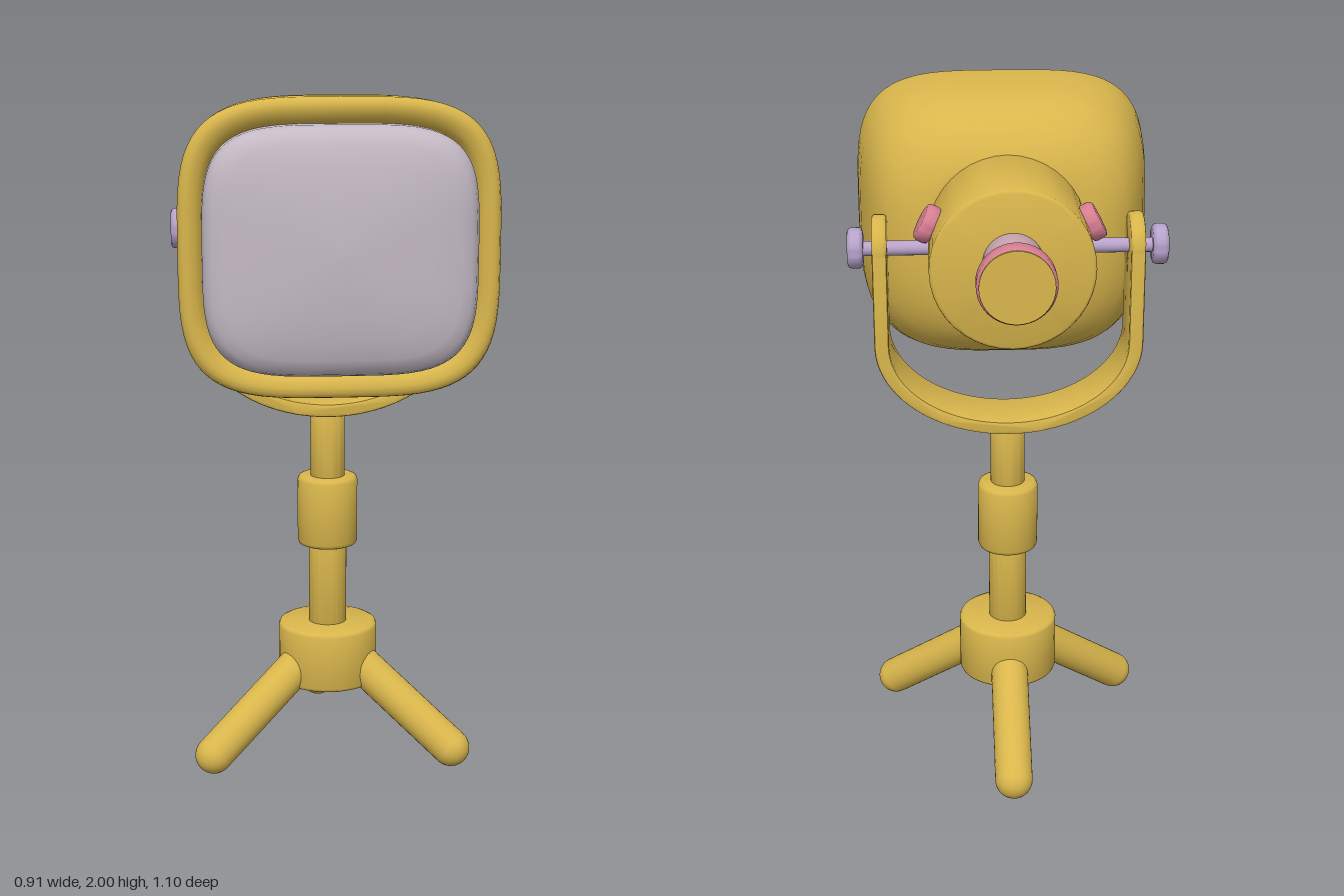
import * as THREE from 'three';
import { toCreasedNormals } from 'three/addons/utils/BufferGeometryUtils.js';

const material = (name, color) => new THREE.MeshStandardMaterial({ name, color });

// Solid of revolution with softened rims, running from y = 0 to y = h
function turned(r, h, b = 0.012) {
  const k = b * 0.3;
  const pts = [[0, 0], [r - b, 0], [r - k, k], [r, b], [r, h - b], [r - k, h - k], [r - b, h], [0, h]];
  const geo = new THREE.LatheGeometry(pts.map(p => new THREE.Vector2(...p)), 40);
  return toCreasedNormals(geo, 0.9);
}

// Rounded-square rings [z, halfWidth, halfHeight, exponent] joined into a skin, ordered front centre to back
function loft(rings, cy, n = 72) {
  const pos = [], index = [];
  const pow = (v, e) => Math.sign(v) * Math.abs(v) ** (2 / e);
  rings.forEach(([z, hx, hy, e], i) => {
    for (let j = 0; j < n; j++) {
      const t = (j / n) * Math.PI * 2;
      pos.push(hx * pow(Math.cos(t), e), cy + hy * pow(Math.sin(t), e), z);
      if (i === rings.length - 1) continue;
      const a = i * n + j, b = i * n + (j + 1) % n;
      index.push(a, a + n, b, b, a + n, b + n);
    }
  });
  const geo = new THREE.BufferGeometry();
  geo.setAttribute('position', new THREE.Float32BufferAttribute(pos, 3));
  geo.setIndex(index);
  geo.computeVertexNormals();
  return geo;
}

export function createModel() {
  const model = new THREE.Group();
  const gold = material('gold', 0xd9b64c);
  const glass = material('pale glass', 0xc4bac5);
  const rose = material('rose', 0xd87e92);
  const blush = material('blush', 0xd0abb5);
  const lilac = material('lilac', 0xb8a2ca);

  const add = (name, geo, mat, x = 0, y = 0, z = 0) => {
    const mesh = new THREE.Mesh(geo, mat);
    mesh.name = name;
    mesh.position.set(x, y, z);
    model.add(mesh);
    return mesh;
  };
  const up = new THREE.Vector3(0, 1, 0);
  const aim = (mesh, x, y, z) => mesh.quaternion.setFromUnitVectors(up, new THREE.Vector3(x, y, z).normalize());

  // Lamp housing with its rolled front lip
  add('housing', loft([
    [0.40, 0.36, 0.325, 4], [0.432, 0.375, 0.342, 4], [0.446, 0.388, 0.355, 4],
    [0.453, 0.405, 0.375, 3.9], [0.452, 0.418, 0.39, 3.8], [0.445, 0.43, 0.402, 3.8],
    [0.43, 0.436, 0.406, 3.8], [0.36, 0.432, 0.406, 3.7], [0.28, 0.424, 0.403, 3.6],
    [0.2, 0.408, 0.394, 3.4], [0.15, 0.394, 0.38, 3.3], [0.1, 0.374, 0.358, 3.1],
    [0.06, 0.347, 0.328, 2.9], [0.03, 0.31, 0.29, 2.7], [0.01, 0.27, 0.254, 2.5],
    [-0.005, 0.22, 0.21, 2.3], [-0.01, 0, 0, 2],
  ], 1.594), gold);

  // Domed front glass
  add('frontGlass', loft([
    [0.548, 0, 0, 3], [0.546, 0.1, 0.09, 3], [0.54, 0.19, 0.17, 3.4],
    [0.53, 0.265, 0.235, 3.8], [0.518, 0.318, 0.285, 4], [0.505, 0.347, 0.312, 4],
    [0.488, 0.363, 0.328, 4], [0.465, 0.371, 0.337, 4], [0.40, 0.371, 0.337, 4],
  ], 1.592), glass);

  // Rear barrel, eyepiece tube, ring and end disc
  aim(add('rearBarrel', turned(0.227, 0.385, 0.01), gold, 0, 1.627, 0.055), 0, 0, -1);
  aim(add('eyepieceTube', turned(0.083, 0.2, 0.005), blush, 0, 1.652, -0.31), 0, 0, -1);
  aim(add('eyepieceRing', turned(0.107, 0.06), rose, 0, 1.657, -0.485), 0, 0, -1);
  aim(add('eyepieceEndDisc', new THREE.CylinderGeometry(0.1, 0.1, 0.006, 40), gold, 0, 1.657, -0.545), 0, 0, -1);

  // Side knobs
  for (const s of [1, -1]) {
    aim(add('focusKnob', turned(0.054, 0.045), rose, s * 0.207, 1.7, -0.157), s * 0.88, 0.46, 0);
    aim(add('pivotShaft', new THREE.CylinderGeometry(0.021, 0.021, 0.24, 20), lilac, s * 0.3, 1.6, -0.03), s, 0, 0);
    aim(add('pivotKnob', turned(0.058, 0.045), lilac, s * 0.41, 1.6, -0.023), s, 0, 0);
    // Rounded top of each fork arm
    aim(add('forkArmEnd', turned(0.0925, 0.042, 0.008), gold, s * 0.343, 1.6, -0.018), s, 0, 0);
  }

  // U-shaped fork
  const bevel = 0.008, outer = 0.385 - bevel, inner = 0.343 + bevel;
  const fork = new THREE.Shape();
  fork.moveTo(outer, 1.6);
  fork.lineTo(outer, 1.33);
  fork.absellipse(0, 1.33, outer, 0.28 - bevel, 0, Math.PI, true);
  fork.lineTo(-outer, 1.6);
  fork.lineTo(-inner, 1.6);
  fork.lineTo(-inner, 1.33);
  fork.absellipse(0, 1.33, inner, 0.24 + bevel, Math.PI, 0, false);
  fork.lineTo(inner, 1.6);
  const forkGeo = new THREE.ExtrudeGeometry(fork, {
    depth: 0.185 - 2 * bevel, bevelSize: bevel, bevelThickness: bevel, bevelSegments: 2, curveSegments: 32,
  });
  add('fork', toCreasedNormals(forkGeo, 0.6), gold, 0, 0, -0.1105 + bevel);

  // Stand: pole, collar and hub
  add('lowerPole', turned(0.057, 0.4, 0.005), gold, 0, 0.35, -0.005);
  add('upperPole', turned(0.051, 0.28, 0.005), gold, 0, 0.8, -0.005);
  add('collar', turned(0.09, 0.215, 0.014), gold, 0, 0.642, -0.01);
  add('hub', turned(0.149, 0.185), gold, 0, 0.215, -0.003);

  // Three splayed legs
  for (const angle of [Math.PI / 6, Math.PI * 5 / 6, -Math.PI / 2]) {
    const at = (r, y) => new THREE.Vector3(Math.cos(angle) * r, y, Math.sin(angle) * r);
    const top = at(0.1, 0.285), foot = at(0.41, 0.056);
    const dir = top.clone().sub(foot);
    const mid = top.clone().add(foot).multiplyScalar(0.5);
    aim(add('leg', new THREE.CapsuleGeometry(0.056, dir.length(), 10, 28), gold, mid.x, mid.y, mid.z), dir.x, dir.y, dir.z);
  }
  return model;
}
